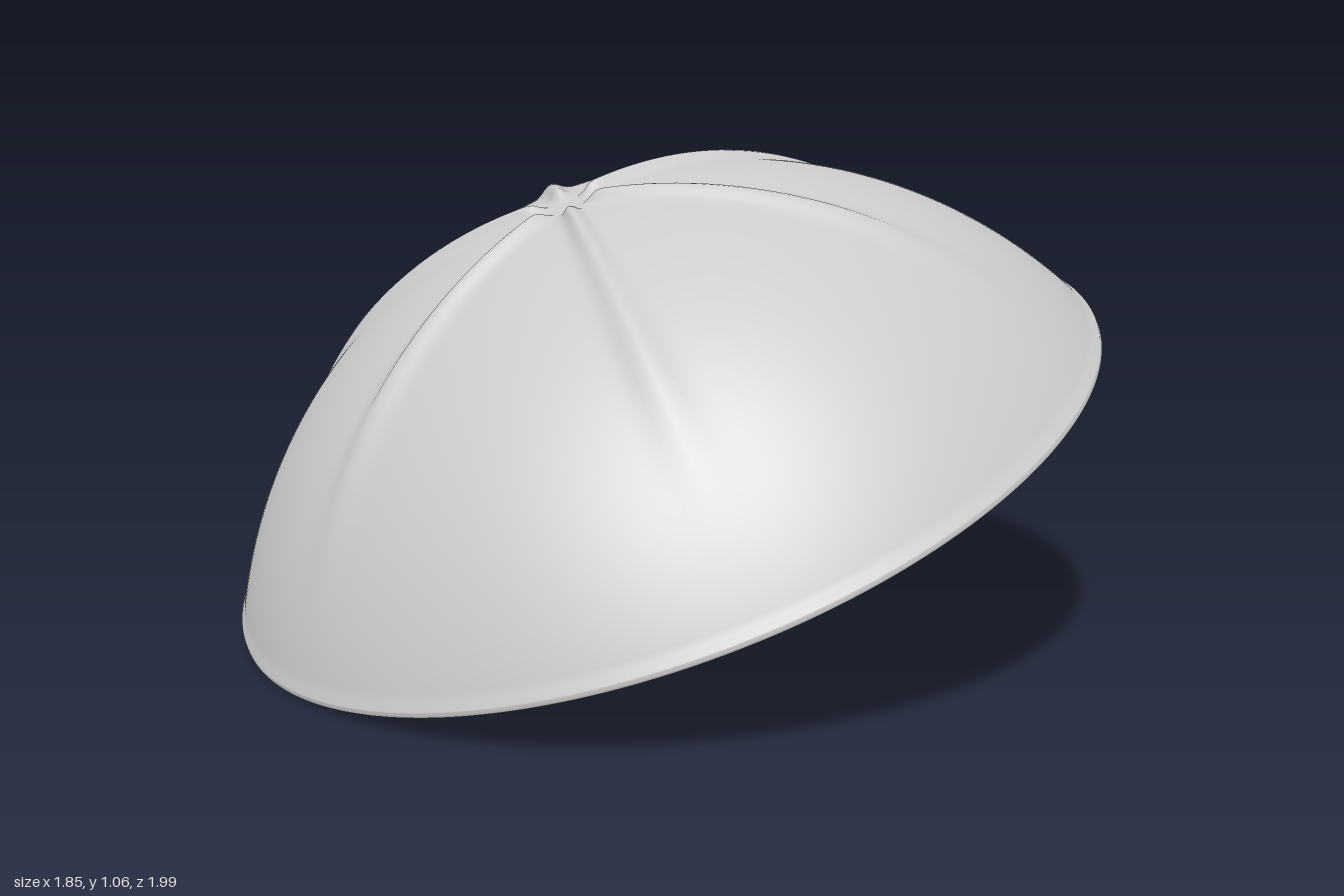
import * as THREE from 'three';
import { mergeVertices } from 'three/addons/utils/BufferGeometryUtils.js';

const RISE = 0.61;                                   // apex height above the rim plane
const R = (1 + RISE * RISE) / (2 * RISE);            // radius of the sphere the cap is cut from
const DROP = R - RISE;                               // sphere centre below the rim plane
const RIBS = 6;

// Height of a rib at a distance r from the axis: abrupt start, slow fade to the rim
function ribHeight(r) {
  const start = THREE.MathUtils.smoothstep(r, 0.04, 0.085);
  const fade = 1 - THREE.MathUtils.smoothstep(r, 0.55, 0.97);
  return start * fade * (0.025 - 0.013 * r);
}

// Thin domed shell with radial ribs and a lip curled inward at the rim
function createShell() {
  const profile = [];
  const lip = new THREE.CatmullRomCurve3([
    [0.905, 0.045], [0.94, 0.022], [0.97, 0.005], [0.988, -0.002], [0.998, 0.002], [0.997, 0.014],
  ].map(([r, y]) => new THREE.Vector3(r, y, 0)));
  for (const p of lip.getPoints(20)) profile.push(new THREE.Vector2(p.x, p.y));
  const lipEnd = profile.length;
  const rimAngle = Math.asin(0.985 / R);
  for (let i = 0; i <= 80; i++) {
    const a = rimAngle * (1 - i / 80);
    profile.push(new THREE.Vector2(R * Math.sin(a), R * Math.cos(a) - DROP));
  }

  let geometry = new THREE.LatheGeometry(profile, 240);
  const pos = geometry.attributes.position;
  const v = new THREE.Vector3();
  const normal = new THREE.Vector3();
  for (let i = 0; i < pos.count; i++) {
    if (i % profile.length < lipEnd) continue;
    v.fromBufferAttribute(pos, i);
    const r = Math.hypot(v.x, v.z);
    // distance sideways from the nearest rib line
    const step = (Math.PI * 2) / RIBS;
    const angle = Math.atan2(v.z, v.x);
    const side = r * Math.sin(angle - Math.round(angle / step) * step);
    const width = 0.016 + 0.035 * r;
    const bump = ribHeight(r) * Math.exp(-((side / width) ** 2));
    normal.set(v.x, v.y + DROP, v.z).normalize();
    v.addScaledVector(normal, bump);
    pos.setXYZ(i, v.x, v.y, v.z);
  }

  // weld the seam and the apex so the shading is continuous
  geometry.deleteAttribute('uv');
  geometry.deleteAttribute('normal');
  geometry = mergeVertices(geometry, 1e-5);
  geometry.computeVertexNormals();

  const material = new THREE.MeshStandardMaterial({ color: 0xcccccc, side: THREE.DoubleSide });
  const mesh = new THREE.Mesh(geometry, material);
  mesh.name = 'ribbedDome';
  return mesh;
}

export function createModel() {
  const group = new THREE.Group();
  group.name = 'tiltedDome';
  const dome = createShell();
  // lean the dome over so one side of its rim touches the ground
  const axis = new THREE.Vector3(-0.385, 0.921, -0.055).normalize();
  dome.quaternion.setFromUnitVectors(new THREE.Vector3(0, 1, 0), axis);
  dome.position.y = 0.39;
  group.add(dome);
  return group;
}
